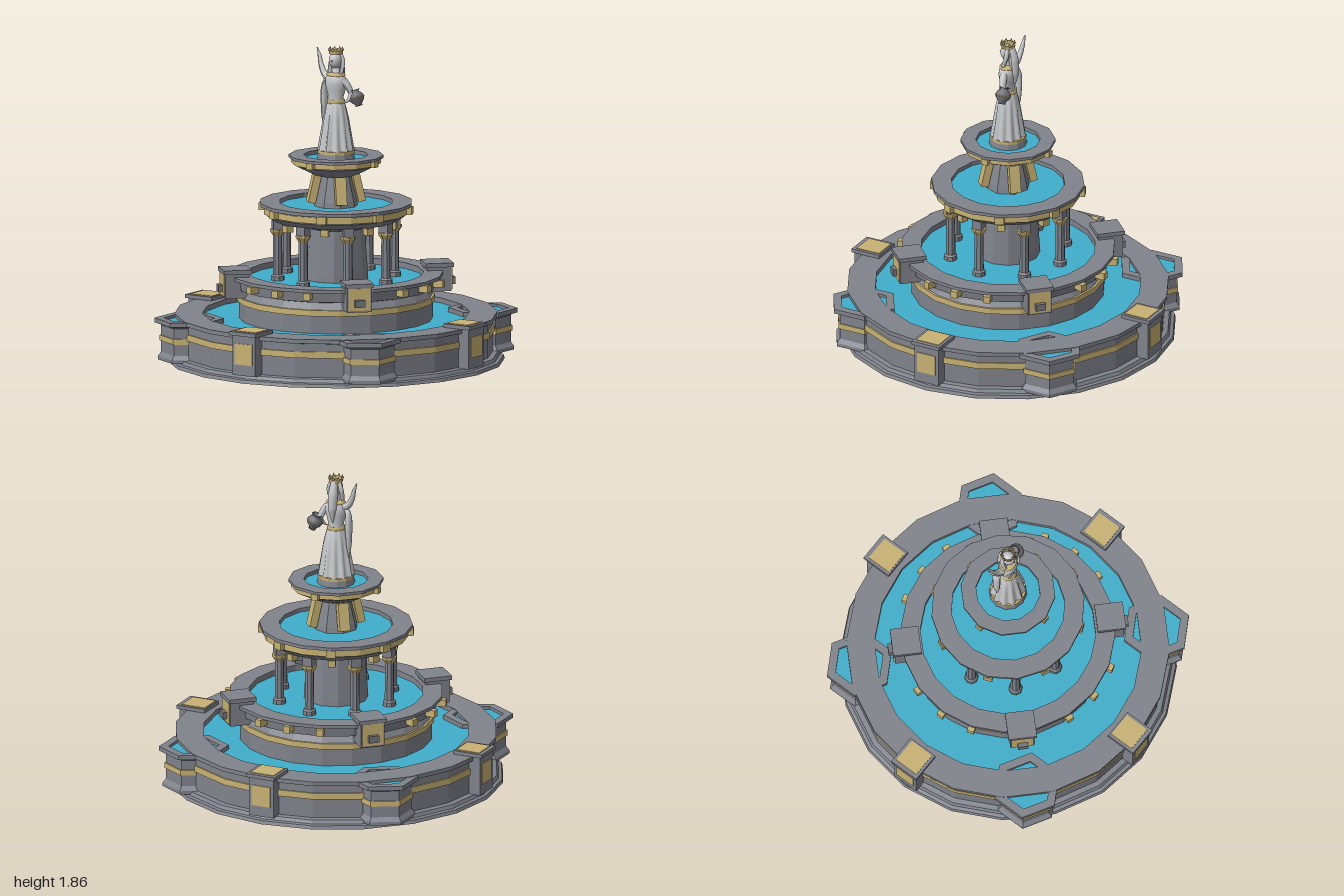
import * as THREE from 'three';

const mat = (name, color) => Object.assign(new THREE.MeshStandardMaterial({ color }), { name });

export function createModel() {
  const stone = mat('stone', 0x80838b), gold = mat('gold', 0xc8b274), water = mat('water', 0x40adcb);
  const marble = mat('marble', 0xc6c7ca), urnStone = mat('urn stone', 0x74757b);
  const root = new THREE.Group();
  root.name = 'fountain';

  const add = (parent, geo, material, name, x = 0, y = 0, z = 0) => {
    const m = new THREE.Mesh(geo, material);
    m.name = name;
    m.position.set(x, y, z);
    parent.add(m);
    return m;
  };
  const flat = (geo) => {
    const g = geo.toNonIndexed();
    g.computeVertexNormals();
    return g;
  };
  const lathe = (pts, n) => new THREE.LatheGeometry(pts.map(p => new THREE.Vector2(p[0], p[1])), n);
  const turned = (parent, pts, n, material, name) => add(parent, flat(lathe(pts, n)), material, name);
  const box = (parent, w, h, d, material, name, x, y, z) =>
    add(parent, new THREE.BoxGeometry(w, h, d), material, name, x, y, z);
  const pool = (parent, r, y, n, name) => {
    const g = new THREE.CircleGeometry(r, n, Math.PI / 2);
    g.rotateX(-Math.PI / 2);
    add(parent, g, water, name, 0, y, 0);
  };
  // raised band around a wall of radius r
  const band = (parent, r, y0, y1, n, name, t = 0.009) =>
    turned(parent, [[r - 0.01, y0], [r + t, y0], [r + t, y1], [r - 0.01, y1]], n, gold, name);
  // groups turned so that their own +z points outwards, at the given degrees
  const around = (degrees, name, build) => degrees.forEach(d => {
    const g = new THREE.Group();
    g.name = name;
    g.rotation.y = d * Math.PI / 180;
    build(g);
    root.add(g);
  });
  const AXES = [0, 90, 180, 270], DIAG = [45, 135, 225, 315];
  const EIGHT = [...AXES, ...DIAG], HALF = EIGHT.map(d => d + 22.5);

  // great basin
  turned(root, [[0, 0], [0.992, 0], [0.985, 0.02], [0.965, 0.025], [0.955, 0.045], [0.925, 0.05], [0.925, 0.25],
    [0.95, 0.255], [0.95, 0.28], [0.785, 0.28], [0.785, 0.2]], 20, stone, 'greatBasin');
  band(root, 0.925, 0.166, 0.204, 20, 'greatBasinBand');
  pool(root, 0.79, 0.25, 20, 'greatBasinWater');

  // square piers on the great basin
  around(AXES, 'basinPier', g => {
    box(g, 0.16, 0.24, 0.16, stone, 'pierBody', 0, 0.165, 0.905);
    box(g, 0.185, 0.022, 0.185, stone, 'pierCap', 0, 0.293, 0.9075);
    box(g, 0.15, 0.006, 0.15, gold, 'pierTopPlate', 0, 0.305, 0.9);
    box(g, 0.12, 0.125, 0.008, gold, 'pierFrontPlate', 0, 0.172, 0.986);
  });

  // six-sided bays on the diagonals
  for (const sx of [-1, 1]) for (const sz of [-1, 1]) {
    const bay = new THREE.Group();
    bay.name = 'bay';
    bay.position.set(sx * 0.622, 0, sz * 0.622);
    root.add(bay);
    turned(bay, [[0, 0.03], [0.185, 0.03], [0.185, 0.05], [0.165, 0.075], [0.165, 0.235], [0.18, 0.25], [0.205, 0.25],
      [0.205, 0.277], [0.15, 0.277], [0.15, 0.23]], 6, stone, 'bayWall');
    band(bay, 0.165, 0.143, 0.175, 6, 'bayBand');
    pool(bay, 0.155, 0.26, 6, 'bayWater');
  }

  // second basin
  turned(root, [[0.57, 0.2], [0.57, 0.39], [0.545, 0.43], [0.59, 0.44], [0.6, 0.5], [0.63, 0.5], [0.63, 0.52],
    [0.515, 0.52], [0.515, 0.45]], 20, stone, 'secondBasin');
  band(root, 0.574, 0.355, 0.39, 20, 'secondBasinBand');
  pool(root, 0.52, 0.485, 20, 'secondBasinWater');
  const brackets = AXES.flatMap(d => [d - 18, d, d + 18]);
  around(brackets, 'secondBasinBracket', g => box(g, 0.042, 0.042, 0.06, gold, 'bracket', 0, 0.481, 0.626));

  // diagonal pedestals with spouts
  around(DIAG, 'pedestal', g => {
    box(g, 0.145, 0.145, 0.145, stone, 'pedestalBody', 0, 0.4675, 0.605);
    box(g, 0.168, 0.025, 0.168, stone, 'pedestalCap', 0, 0.552, 0.605);
    box(g, 0.13, 0.132, 0.008, gold, 'pedestalPlate', 0, 0.472, 0.681);
    box(g, 0.06, 0.042, 0.03, urnStone, 'spout', 0, 0.45, 0.695);
  });

  // central drum and columns
  turned(root, [[0.19, 0.45], [0.187, 0.53], [0.168, 0.79], [0.2, 0.8], [0.2, 0.84]], 12, stone, 'centralDrum');
  around(EIGHT, 'column', g => {
    const c = new THREE.Group();
    c.position.z = 0.35;
    g.add(c);
    turned(c, [[0.04, 0.46], [0.04, 0.51], [0.029, 0.52], [0.027, 0.755]], 8, stone, 'columnShaft');
    turned(c, [[0.027, 0.75], [0.046, 0.78], [0.046, 0.79], [0, 0.79]], 8, gold, 'columnCapital');
    box(c, 0.06, 0.055, 0.06, stone, 'columnBlock', 0, 0.815, 0);
  });
  around(HALF, 'thirdBasinFittings', g => {
    box(g, 0.045, 0.04, 0.045, gold, 'underBracket', 0, 0.81, 0.34);
    box(g, 0.055, 0.045, 0.04, gold, 'rimBracket', 0, 0.902, 0.437);
  });

  // third basin
  turned(root, [[0, 0.81], [0.22, 0.81], [0.37, 0.835], [0.415, 0.87], [0.425, 0.92], [0.452, 0.922], [0.452, 0.942],
    [0.335, 0.942], [0.335, 0.89]], 16, stone, 'thirdBasin');
  band(root, 0.423, 0.878, 0.915, 16, 'thirdBasinBand');
  pool(root, 0.34, 0.918, 16, 'thirdBasinWater');

  // upper stem with leaning buttresses
  turned(root, [[0.135, 0.89], [0.125, 0.95], [0.088, 1.1], [0.1, 1.13]], 8, stone, 'upperStem');
  around(DIAG, 'stemButtress', g => {
    const b = box(g, 0.065, 0.165, 0.045, gold, 'buttress', 0, 1.022, 0.133);
    b.rotation.x = -0.22;
  });

  // top basin
  turned(root, [[0, 1.1], [0.11, 1.1], [0.16, 1.12], [0.25, 1.165], [0.255, 1.2], [0.28, 1.203], [0.28, 1.22],
    [0.19, 1.22], [0.19, 1.17]], 12, stone, 'topBasin');
  band(root, 0.255, 1.172, 1.2, 12, 'topBasinBand');
  pool(root, 0.195, 1.197, 12, 'topBasinWater');
  around(AXES, 'topBasinBracket', g => box(g, 0.042, 0.036, 0.04, gold, 'bracket', 0, 1.188, 0.266));

  // statue plinth
  turned(root, [[0.115, 1.18], [0.105, 1.235], [0, 1.235]], 12, stone, 'statuePlinth');
  turned(root, [[0.108, 1.232], [0.108, 1.25], [0, 1.25]], 12, gold, 'statuePlinthBand');

  const statue = new THREE.Group();
  statue.name = 'statue';
  root.add(statue);
  // skirt: a turned shape whose folds deepen towards the hem
  const skirt = lathe([[0.103, 1.25], [0.098, 1.28], [0.085, 1.36], [0.074, 1.44], [0.062, 1.5], [0.049, 1.54]], 60);
  const p = skirt.attributes.position;
  for (let i = 0; i < p.count; i++) {
    const x = p.getX(i), z = p.getZ(i);
    const k = 1 + 0.09 * Math.min(1, (1.54 - p.getY(i)) / 0.15) * Math.cos(11 * Math.atan2(x, z));
    p.setX(i, x * k);
    p.setZ(i, z * k * 0.93);
  }
  skirt.computeVertexNormals();
  add(statue, skirt, marble, 'skirt');
  const torso = lathe([[0.047, 1.535], [0.049, 1.57], [0.06, 1.61], [0.068, 1.645], [0.066, 1.675], [0.05, 1.697],
    [0.024, 1.71], [0.02, 1.76]], 24);
  add(statue, torso.scale(1, 1, 0.75), marble, 'torso');
  add(statue, lathe([[0.046, 1.527], [0.054, 1.53], [0.054, 1.548], [0.046, 1.551]], 20), gold, 'belt');
  const collar = lathe([[0.054, 1.692], [0.056, 1.697], [0.05, 1.706], [0.022, 1.71]], 20);
  add(statue, collar.scale(1.05, 1, 0.85), gold, 'collar');
  add(statue, new THREE.SphereGeometry(0.042, 20, 14).scale(0.92, 1.2, 1), marble, 'head', 0, 1.785, 0.004);
  add(statue, new THREE.ConeGeometry(0.008, 0.018, 6).rotateX(Math.PI / 2), marble, 'nose', 0, 1.783, 0.048);

  // crown with points
  turned(statue, [[0.04, 1.822], [0.043, 1.845], [0.037, 1.845], [0.035, 1.825]], 12, gold, 'crown');
  for (let i = 0; i < 8; i++) {
    const a = i * Math.PI / 4;
    add(statue, new THREE.ConeGeometry(0.011, 0.022, 4), gold, 'crownPoint', 0.04 * Math.sin(a), 1.852, 0.04 * Math.cos(a));
  }

  // tapered tubes for arms, hair and drapery
  const limb = (name, pts, radii, flatten = 1) => {
    const curve = new THREE.CatmullRomCurve3(pts.map(q => new THREE.Vector3(...q)));
    const n = 20, m = 10, geo = new THREE.TubeGeometry(curve, n, 1, m), a = geo.attributes.position;
    const v = new THREE.Vector3();
    for (let i = 0; i <= n; i++) {
      const c = curve.getPointAt(i / n), t = i / n * (radii.length - 1), k = Math.min(Math.floor(t), radii.length - 2);
      const r = THREE.MathUtils.lerp(radii[k], radii[k + 1], t - k);
      for (let j = 0; j <= m; j++) {
        v.fromBufferAttribute(a, i * (m + 1) + j).sub(c).multiplyScalar(r);
        v.x *= flatten;
        v.add(c);
        a.setXYZ(i * (m + 1) + j, v.x, v.y, v.z);
      }
    }
    geo.computeVertexNormals();
    add(statue, geo, marble, name);
  };
  limb('rightArm', [[-0.045, 1.668, 0], [-0.085, 1.69, -0.01], [-0.118, 1.745, -0.02], [-0.135, 1.8, -0.028],
    [-0.152, 1.842, -0.03]], [0.024, 0.02, 0.016, 0.012, 0.003]);
  limb('rightSleeve', [[-0.06, 1.672, 0], [-0.085, 1.64, -0.012], [-0.092, 1.5, -0.015], [-0.09, 1.36, -0.01]],
    [0.015, 0.026, 0.026, 0.02, 0.002], 0.75);
  limb('leftArm', [[0.05, 1.668, 0], [0.078, 1.63, -0.01], [0.1, 1.585, -0.02], [0.118, 1.565, -0.03]],
    [0.024, 0.022, 0.018, 0.012]);
  limb('leftForearm', [[0.1, 1.59, -0.015], [0.09, 1.555, 0.005], [0.07, 1.535, 0.02]], [0.016, 0.013, 0.003]);
  for (const s of [-1, 1])
    limb('hairStrand', [[s * 0.025, 1.825, -0.01], [s * 0.04, 1.78, -0.012], [s * 0.041, 1.72, 0.005], [s * 0.035, 1.66, 0.03]],
      [0.012, 0.014, 0.012, 0.003]);
  limb('backHair', [[0, 1.83, -0.02], [0, 1.77, -0.035], [0, 1.68, -0.045], [0, 1.58, -0.045]], [0.02, 0.03, 0.026, 0.004]);

  // urn tipped outwards
  const urn = add(statue, lathe([[0, -0.05], [0.022, -0.05], [0.02, -0.04], [0.042, -0.015], [0.046, 0.005], [0.036, 0.025],
    [0.022, 0.036], [0.032, 0.048], [0.024, 0.048], [0.015, 0.03], [0, 0.03]], 16), urnStone, 'urn', 0.122, 1.565, -0.035);
  urn.rotation.z = 0.35;
  const urnBand = add(statue, new THREE.TorusGeometry(0.044, 0.004, 6, 16).rotateX(Math.PI / 2), gold, 'urnBand', 0.122, 1.565, -0.035);
  urnBand.rotation.z = 0.35;
  return root;
}
